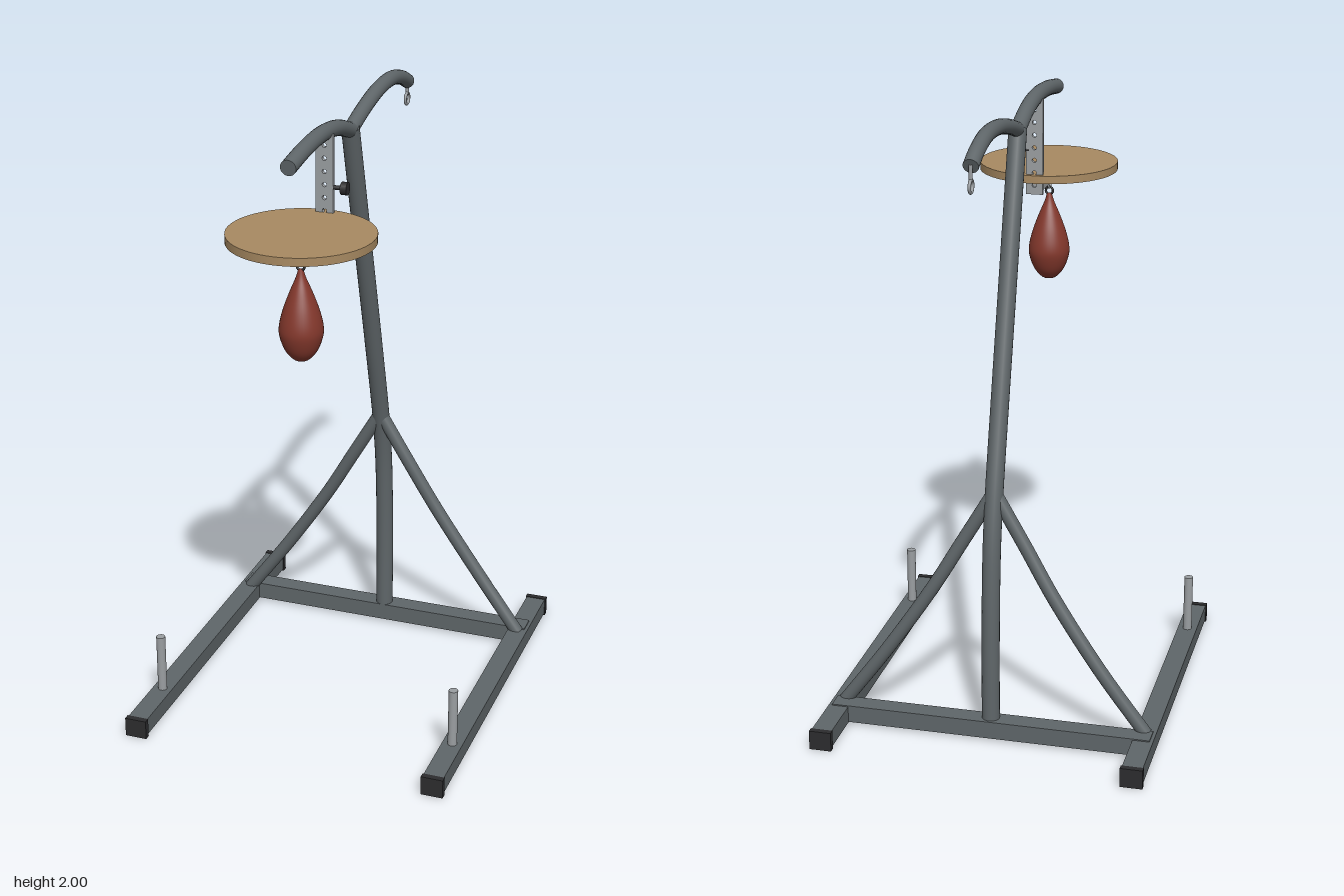
import * as THREE from 'three';

const V = (x, y, z) => new THREE.Vector3(x, y, z);
const paint = (color) => new THREE.MeshStandardMaterial({ color });

export function createModel() {
  const model = new THREE.Group();
  const steel = paint(0x5f6669), zinc = paint(0x9a9ea1), black = paint(0x2c2c2e);
  const wood = paint(0xa88a62), leather = paint(0x84382c);

  const add = (name, geometry, material, x = 0, y = 0, z = 0, parent = model) => {
    const mesh = new THREE.Mesh(geometry, material);
    mesh.name = name;
    mesh.position.set(x, y, z);
    parent.add(mesh);
    return mesh;
  };
  const box = (name, w, h, d, material, x, y, z) =>
    add(name, new THREE.BoxGeometry(w, h, d), material, x, y, z);

  // Bent round pipe with closed ends
  const pipe = (name, points, radius, material = steel) => {
    const group = new THREE.Group();
    group.name = name;
    const curve = new THREE.CatmullRomCurve3(points);
    add(name + 'Wall', new THREE.TubeGeometry(curve, 40, radius, 20), material, 0, 0, 0, group);
    for (const t of [0, 1]) {
      const p = curve.getPoint(t);
      const cap = add(name + 'End', new THREE.CircleGeometry(radius, 20), material, p.x, p.y, p.z, group);
      const out = curve.getTangent(t).multiplyScalar(t ? 1 : -1);
      cap.quaternion.setFromUnitVectors(V(0, 0, 1), out);
    }
    model.add(group);
  };

  // Base: two rails with end caps and weight pegs, joined by a crossbar
  for (const s of [-1, 1]) {
    const x = s * 0.503;
    box('rail', 0.066, 0.056, 1.23, steel, x, 0.036, 0);
    for (const e of [-1, 1]) box('railCap', 0.072, 0.064, 0.02, black, x, 0.034, e * 0.616);
    add('weightPeg', new THREE.CylinderGeometry(0.015, 0.015, 0.2, 20), zinc, x, 0.16, 0.41);
    pipe('brace', [V(s * 0.5, 0.055, -0.368), V(s * 0.35, 0.26, -0.371), V(s * 0.2, 0.485, -0.362),
      V(s * 0.1, 0.655, -0.35), V(0, 0.825, -0.343)], 0.022);
  }
  box('crossbar', 1.05, 0.058, 0.066, steel, 0, 0.039, -0.404);

  // Bent upright post
  pipe('post', [V(0, 0.06, -0.4), V(0, 0.3, -0.399), V(0, 0.5, -0.391), V(0, 0.66, -0.376),
    V(0, 0.82, -0.345), V(0, 1.1, -0.268), V(0, 1.5, -0.153), V(0, 1.915, -0.033)], 0.029);

  // Front and rear arms at the top
  pipe('frontArm', [V(0, 1.942, 0.5), V(0, 1.961, 0.36), V(0, 1.966, 0.22), V(0, 1.949, 0.09),
    V(0, 1.908, -0.035)], 0.025);
  pipe('rearArm', [V(0, 1.908, -0.03), V(0, 1.945, -0.16), V(0, 1.971, -0.3), V(0, 1.973, -0.43),
    V(0, 1.95, -0.53), V(0, 1.922, -0.595)], 0.024);

  // Eye for a hanging bag at the end of the rear arm
  add('rearHookStem', new THREE.CylinderGeometry(0.006, 0.006, 0.05, 12), zinc, 0, 1.902, -0.596);
  add('rearHookRing', new THREE.TorusGeometry(0.019, 0.005, 10, 28), zinc, 0, 1.863, -0.594)
    .rotation.y = Math.PI / 2;

  // Perforated height adjustment plate
  const plate = new THREE.Shape([[-0.028, 1.65], [0.028, 1.65], [0.028, 1.96], [-0.028, 1.96]]
    .map(([x, y]) => new THREE.Vector2(x, y)));
  for (let i = 0; i < 7; i++) {
    plate.holes.push(new THREE.Path().absarc(0, 1.68 + i * 0.041, 0.007, 0, Math.PI * 2, true));
  }
  add('adjusterPlate', new THREE.ExtrudeGeometry(plate, { depth: 0.014, bevelEnabled: false, curveSegments: 12 }),
    zinc, 0, 0, 0.187);

  // Locking knob
  add('knobStem', new THREE.CylinderGeometry(0.007, 0.007, 0.045, 12), black, 0.04, 1.795, 0.193)
    .rotation.z = Math.PI / 2;
  add('knob', new THREE.CylinderGeometry(0.02, 0.02, 0.02, 20), black, 0.063, 1.795, 0.193)
    .rotation.z = Math.PI / 2;

  // Rebound board and the arm beneath it
  add('board', new THREE.CylinderGeometry(0.227, 0.227, 0.026, 72), wood, 0, 1.702, 0.398);
  box('boardArm', 0.05, 0.028, 0.23, zinc, 0, 1.675, 0.31);

  // Swivel
  add('swivel', new THREE.CylinderGeometry(0.018, 0.014, 0.025, 20), zinc, 0, 1.658, 0.405);
  add('swivelRing', new THREE.TorusGeometry(0.014, 0.004, 10, 24), zinc, 0, 1.635, 0.405)
    .rotation.y = Math.PI / 2;
  add('bagLoop', new THREE.TorusGeometry(0.012, 0.004, 10, 24), black, 0, 1.611, 0.405);

  // Teardrop speed bag
  const outline = new THREE.SplineCurve([[0, 1.31], [0.024, 1.316], [0.05, 1.346], [0.066, 1.39],
    [0.067, 1.425], [0.055, 1.475], [0.035, 1.53], [0.016, 1.575], [0.008, 1.602]]
    .map(([x, y]) => new THREE.Vector2(x, y)));
  const profile = outline.getPoints(40).map((p) => new THREE.Vector2(Math.max(p.x, 0), p.y));
  profile.push(new THREE.Vector2(0, 1.604));
  add('speedBag', new THREE.LatheGeometry(profile, 40), leather, 0, 0, 0.405);

  return model;
}
